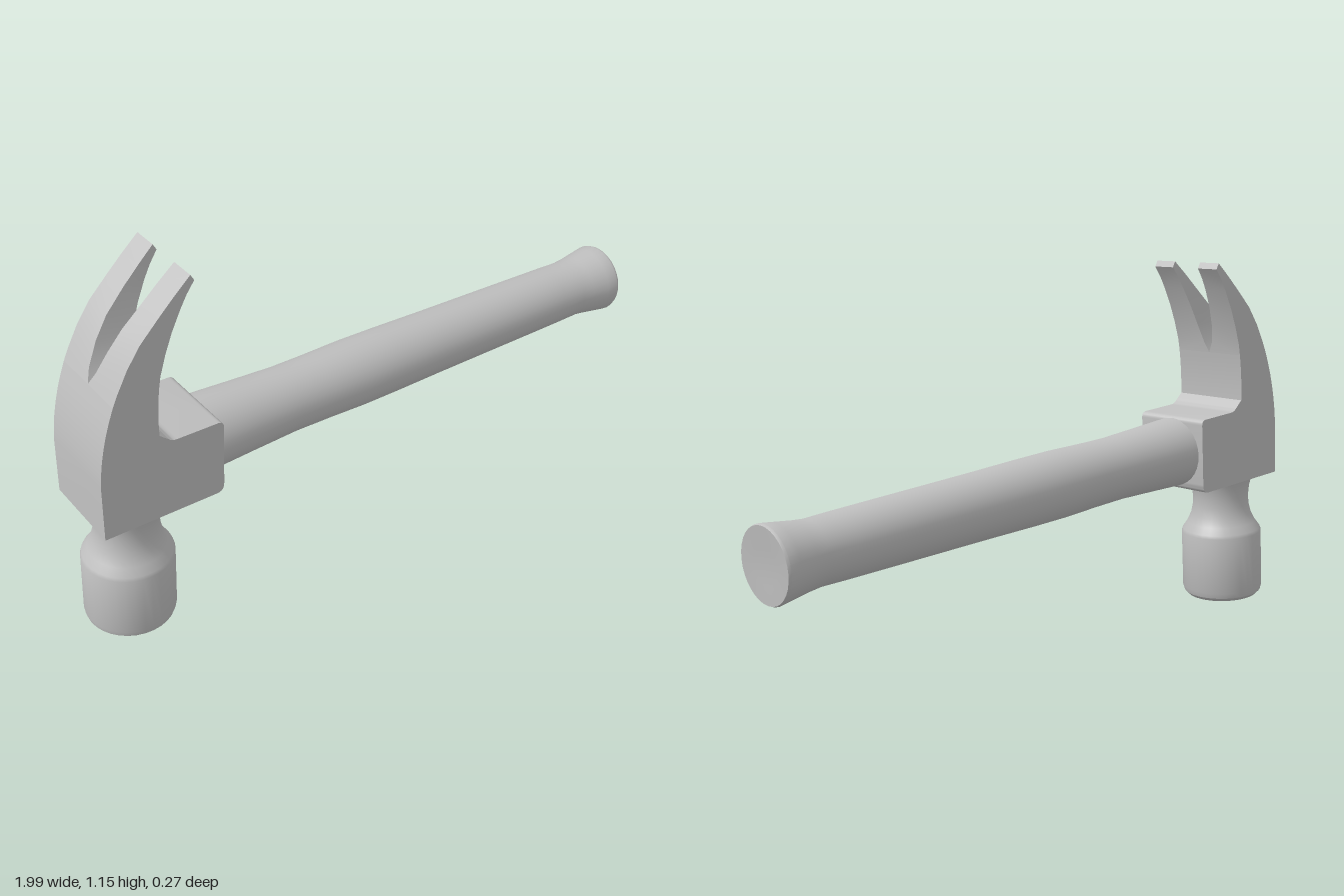
import * as THREE from 'three';
import { toCreasedNormals } from 'three/addons/utils/BufferGeometryUtils.js';

const HALF = 0.13;    // half width of the head
const TILT = -0.064;  // lean of handle and striking face

export function createModel() {
  const group = new THREE.Group();
  group.name = 'clawHammer';
  const steel = new THREE.MeshStandardMaterial({ color: 0xbfbfbf });
  steel.name = 'plain grey';

  const add = (name, geometry, crease = 0.5) => {
    const mesh = new THREE.Mesh(toCreasedNormals(geometry, crease), steel);
    mesh.name = name;
    group.add(mesh);
    return mesh;
  };
  const lathe = (pts, sides) =>
    new THREE.LatheGeometry(pts.map(([r, y]) => new THREE.Vector2(r, y)), sides);

  // Head block with the solid root of the claw
  const s = new THREE.Shape();
  s.moveTo(-0.97, 0.44);
  s.lineTo(-0.615, 0.418);
  s.quadraticCurveTo(-0.594, 0.418, -0.592, 0.445);
  s.lineTo(-0.58, 0.642);
  s.quadraticCurveTo(-0.58, 0.658, -0.597, 0.66);
  s.lineTo(-0.725, 0.669);
  s.quadraticCurveTo(-0.742, 0.67, -0.752, 0.682);
  s.lineTo(-0.777, 0.705);
  s.quadraticCurveTo(-0.777, 0.78, -0.764, 0.855);
  s.lineTo(-0.9, 0.855);
  s.quadraticCurveTo(-0.95, 0.74, -0.962, 0.62);
  const block = new THREE.ExtrudeGeometry(s, { depth: 2 * HALF, bevelEnabled: false, curveSegments: 6 });
  block.translate(0, 0, -HALF);
  add('headBlock', block);

  // Claw prongs: four-cornered sections [outer x, outer y, inner x, inner y, half gap]
  const sections = [
    [-0.9, 0.855, -0.764, 0.855, 0],
    [-0.883, 0.89, -0.757, 0.89, 0.017],
    [-0.848, 0.952, -0.737, 0.95, 0.031],
    [-0.805, 1.01, -0.712, 1.01, 0.04],
    [-0.745, 1.068, -0.682, 1.068, 0.047],
    [-0.695, 1.114, -0.66, 1.105, 0.05],
    [-0.645, 1.157, -0.635, 1.138, 0.053],
  ];
  const prong = (side) => {
    const pos = [], index = [];
    const quad = (a, b, c, d) =>
      side > 0 ? index.push(a, b, c, a, c, d) : index.push(a, c, b, a, d, c);
    for (const [xo, yo, xi, yi, gap] of sections) {
      const a = side * gap, b = side * HALF;
      pos.push(xo, yo, a, xo, yo, b, xi, yi, b, xi, yi, a);
    }
    for (let i = 0; i < sections.length - 1; i++) {
      for (let j = 0; j < 4; j++) {
        const k = (j + 1) % 4;
        quad(i * 4 + j, i * 4 + k, i * 4 + 4 + k, i * 4 + 4 + j);
      }
    }
    const t = (sections.length - 1) * 4;
    quad(t, t + 1, t + 2, t + 3);
    const g = new THREE.BufferGeometry();
    g.setAttribute('position', new THREE.Float32BufferAttribute(pos, 3));
    g.setIndex(index);
    return g;
  };
  add('leftProng', prong(1));
  add('rightProng', prong(-1));

  // Striking poll and its waisted neck
  const poll = add('pollAndNeck', lathe([
    [0, 0], [0.1, 0], [0.118, 0.006], [0.13, 0.018], [0.135, 0.036], [0.135, 0.228],
    [0.131, 0.239], [0.115, 0.262], [0.102, 0.29], [0.095, 0.322], [0.094, 0.355],
    [0.098, 0.388], [0.106, 0.415], [0.115, 0.436], [0.115, 0.47], [0, 0.47],
  ], 32));
  poll.position.set(-0.863, 0.009, 0);
  poll.rotation.z = TILT;

  // Handle, swelling gently at the head, the middle and the butt
  const handle = add('handle', lathe([
    [0, -0.68], [0.114, -0.68], [0.112, -0.56], [0.107, -0.45], [0.101, -0.3], [0.102, -0.18],
    [0.105, -0.05], [0.104, 0.08], [0.101, 0.25], [0.099, 0.42], [0.097, 0.6],
    [0.095, 0.76], [0.093, 0.85], [0.097, 0.89], [0.106, 0.95], [0.111, 0.985],
    [0.108, 0.993], [0.055, 0.991], [0, 0.987],
  ], 32));
  handle.position.set(0, 0.503, 0);
  handle.rotation.z = -Math.PI / 2 + TILT;

  return group;
}
